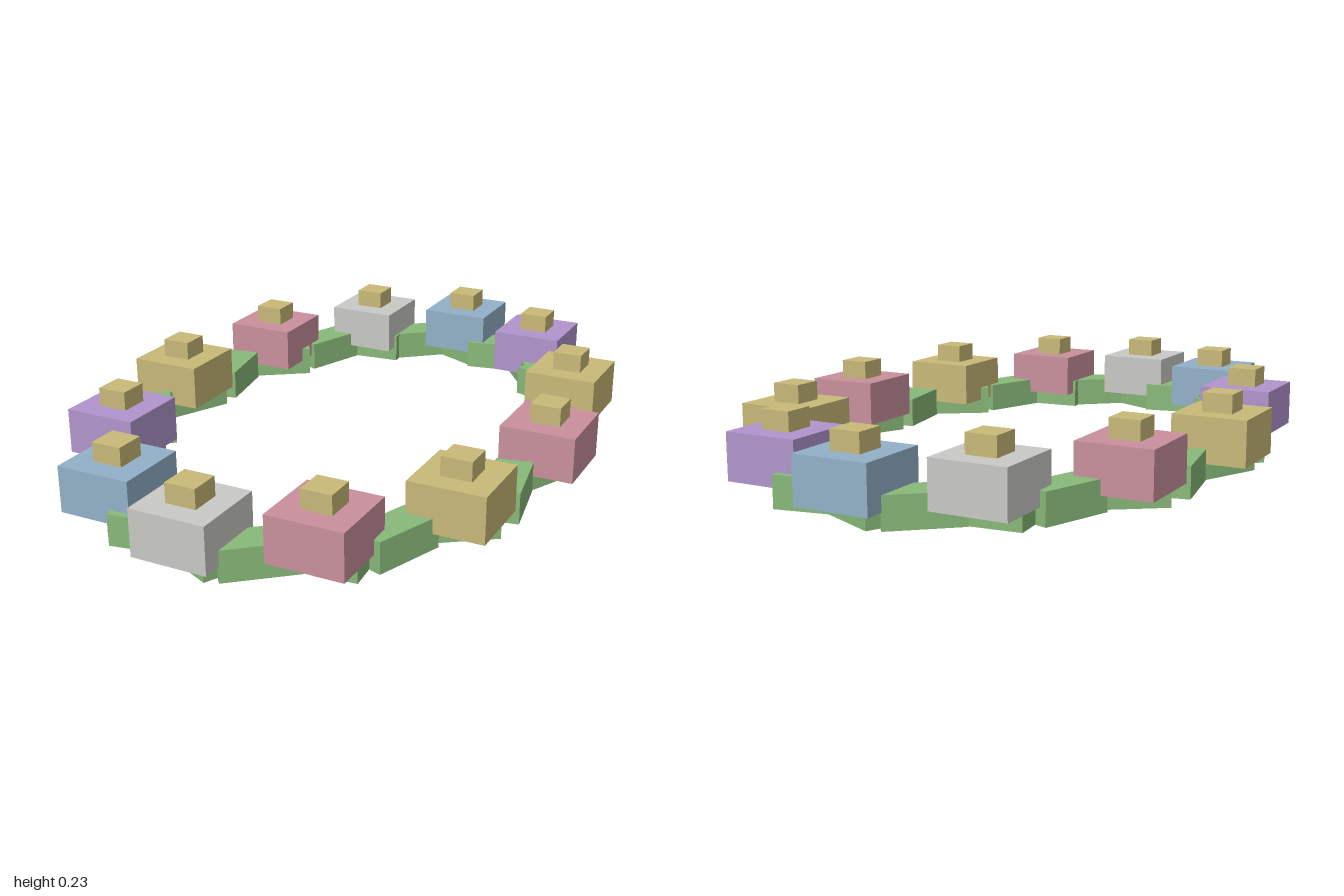
import * as THREE from 'three';

const flat = (name, color) => {
  const m = new THREE.MeshStandardMaterial({ color });
  m.name = name;
  return m;
};

export function createModel() {
  const model = new THREE.Group();
  model.name = 'flowerWreath';

  const green = flat('leaf green', 0x88b878);
  const gold = flat('gold', 0xc8b878);
  const pink = flat('pink', 0xc8909c);
  const grey = flat('pale grey', 0xc8c8c4);
  const blue = flat('soft blue', 0x92b0c8);
  const purple = flat('purple', 0xb094cc);

  const leafGeo = new THREE.BoxGeometry(0.21, 0.09, 0.105);
  const flowerGeo = new THREE.BoxGeometry(0.219, 0.133, 0.219);
  const centreGeo = new THREE.BoxGeometry(0.088, 0.088, 0.088);

  const add = (parent, name, geo, mat, x, y, z) => {
    const mesh = new THREE.Mesh(geo, mat);
    mesh.name = name;
    mesh.position.set(x, y, z);
    parent.add(mesh);
    return mesh;
  };

  // Zigzag ring of leaf blocks, tilted alternately either side of the tangent
  for (let i = 0; i < 24; i++) {
    const t = (i * Math.PI) / 12;
    const tilt = THREE.MathUtils.degToRad(i % 2 ? -25 : 25);
    const leaf = add(model, 'leaf', leafGeo, green, 0.6 * Math.cos(t), 0.045, 0.866 * Math.sin(t));
    leaf.rotation.y = -(t + Math.PI / 2 + tilt);
  }

  // Square blossoms with a gold centre, starting at the left and going round past the front
  const petals = [pink, gold, pink, grey, blue, purple, gold, pink, grey, blue, purple, gold];
  petals.forEach((petal, i) => {
    const t = (i * Math.PI) / 6;
    const flower = new THREE.Group();
    flower.name = 'flower';
    flower.position.set(0.617 * Math.cos(t), 0, 0.8905 * Math.sin(t));
    add(flower, 'petals', flowerGeo, petal, 0, 0.1135, 0);
    add(flower, 'flowerCentre', centreGeo, gold, 0, 0.191, 0);
    model.add(flower);
  });

  return model;
}
